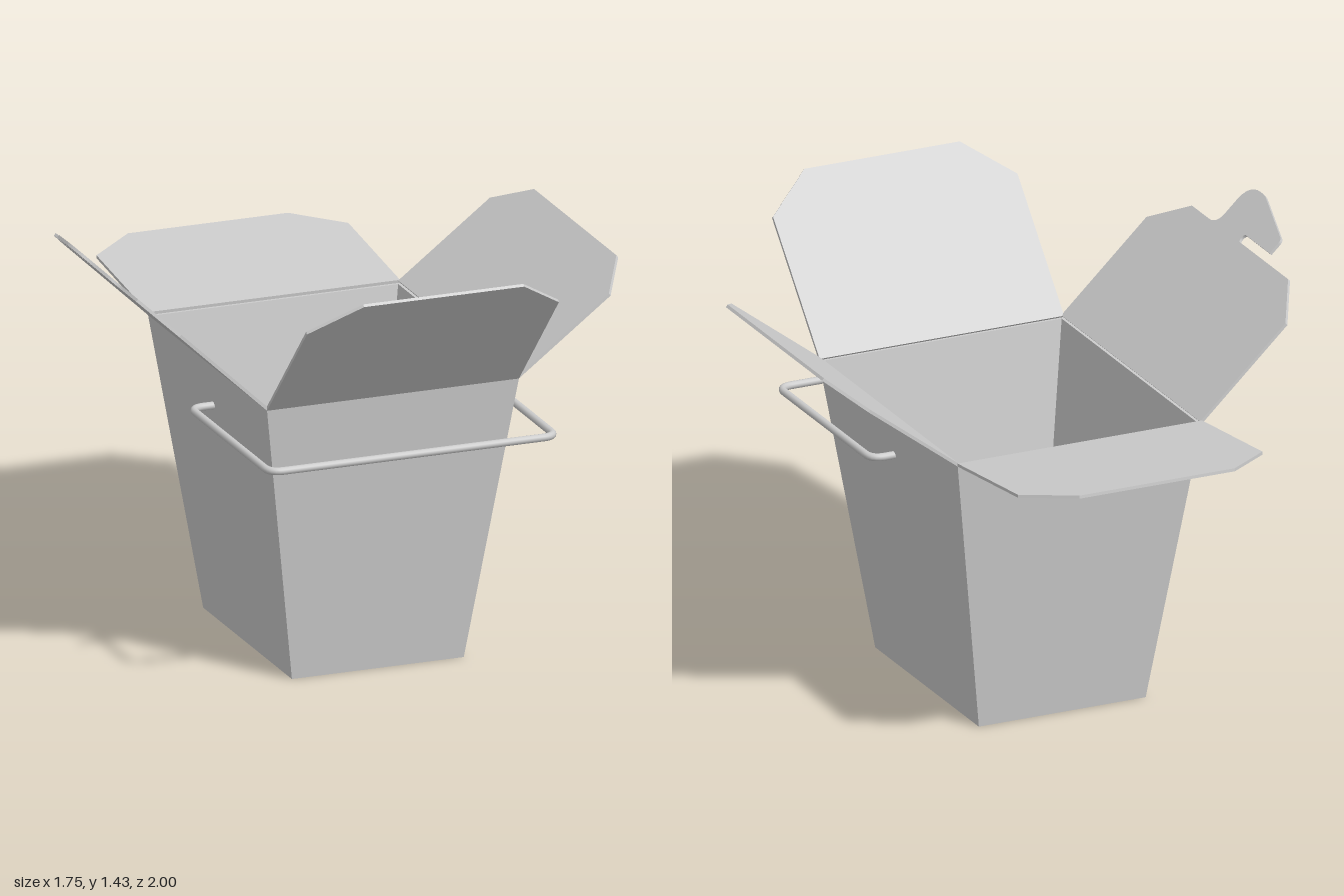
import * as THREE from 'three';

const CX = 0.05, CZ = 0.063;   // centre of the box
const RIM = 0.945, T = 0.01;   // rim height, board thickness
const HX = 0.425, HZ = 0.503;  // half sizes at the rim

const mat = new THREE.MeshStandardMaterial({ color: 0xcccccc, flatShading: true, side: THREE.DoubleSide });
const wireMat = new THREE.MeshStandardMaterial({ color: 0xcccccc });

// Tapered open box: rectangular rings running up the outside and down the inside
function carton() {
  const rings = [
    [0.29, 0.375, 0], [HX, HZ, RIM],
    [HX - T, HZ - T, RIM], [0.285, 0.365, T],
  ].map(([x, z, y]) => [[x, y, z], [x, y, -z], [-x, y, -z], [-x, y, z]]);
  const pos = [];
  const quad = (a, b, c, d) => pos.push(...a, ...b, ...c, ...a, ...c, ...d);
  for (let r = 0; r < 3; r++) {
    for (let i = 0; i < 4; i++) {
      const j = (i + 1) % 4;
      quad(rings[r][i], rings[r][j], rings[r + 1][j], rings[r + 1][i]);
    }
  }
  const [a, b, c, d] = rings[0];
  quad(d, c, b, a);          // underside
  quad(...rings[3]);         // inner floor
  const geo = new THREE.BufferGeometry();
  geo.setAttribute('position', new THREE.Float32BufferAttribute(pos, 3));
  geo.computeVertexNormals();
  const mesh = new THREE.Mesh(geo, mat);
  mesh.name = 'carton';
  return mesh;
}

// Locking tab with its slot, added to the top edge of a flap of length L
function addTab(s, L) {
  s.lineTo(0.225, L);
  s.quadraticCurveTo(0.175, L, 0.175, L + 0.045);
  s.lineTo(0.175, L + 0.1);
  s.bezierCurveTo(0.175, L + 0.15, 0.14, L + 0.175, 0.06, L + 0.162);
  s.lineTo(-0.155, L + 0.09);
  s.quadraticCurveTo(-0.17, L + 0.085, -0.17, L + 0.07);
  s.lineTo(-0.17, L + 0.029);
  s.lineTo(0.005, L + 0.029);
  s.quadraticCurveTo(0.018, L + 0.014, 0.005, L);
}

// Flap hinged on the rim: w half width, d distance of hinge from centre,
// out and up locate its free edge, yaw picks the side of the box
function flap(name, w, d, out, up, yaw, tab = false) {
  const L = Math.hypot(out, up), k = 0.78 * L, e = w - 0.155;
  const s = new THREE.Shape();
  s.moveTo(-w, 0);
  s.lineTo(w, 0);
  s.lineTo(w, k);
  s.lineTo(e, L);
  if (tab) addTab(s, L);
  s.lineTo(-e, L);
  s.lineTo(-w, k);
  s.closePath();
  const geo = new THREE.ExtrudeGeometry(s, { depth: T, bevelEnabled: false, curveSegments: 10 });
  geo.translate(0, 0, -T);
  geo.rotateX(Math.atan2(out, up));
  geo.translate(0, RIM, d);
  geo.rotateY(yaw);
  const mesh = new THREE.Mesh(geo, mat);
  mesh.name = name;
  return mesh;
}

// Wire handle: a path with rounded corners, ends hooked into the side walls
function handle() {
  const y = 0.802, x = 0.4825, end = 0.398, front = 0.7375 - CZ, back = 0.0625 - CZ, r = 0.045;
  const p = [[-end, back], [-x, back], [-x, front], [x, front], [x, back], [end, back]]
    .map(([px, pz]) => new THREE.Vector3(px, y, pz));
  const path = new THREE.CurvePath();
  let from = p[0];
  for (let i = 1; i < p.length - 1; i++) {
    const toward = (q) => p[i].clone().add(q.clone().sub(p[i]).setLength(r));
    const a = toward(p[i - 1]), b = toward(p[i + 1]);
    path.add(new THREE.LineCurve3(from, a));
    path.add(new THREE.QuadraticBezierCurve3(a, p[i], b));
    from = b;
  }
  path.add(new THREE.LineCurve3(from, p[p.length - 1]));
  const mesh = new THREE.Mesh(new THREE.TubeGeometry(path, 220, 0.0125, 12), wireMat);
  mesh.name = 'wireHandle';
  return mesh;
}

export function createModel() {
  const model = new THREE.Group();
  model.name = 'foodCarton';
  model.add(
    carton(),
    flap('frontFlap', HX, HZ, 0.433, 0.46, 0),
    flap('backFlap', HX, HZ, 0.56, 0.065, Math.PI),
    flap('leftFlap', HZ, HX, 0.397, 0.302, Math.PI / 2),
    flap('rightFlapWithTab', HZ, HX, 0.38, 0.36, -Math.PI / 2, true),
    handle(),
  );
  model.children.forEach((m) => m.position.set(CX, 0, CZ));
  return model;
}
